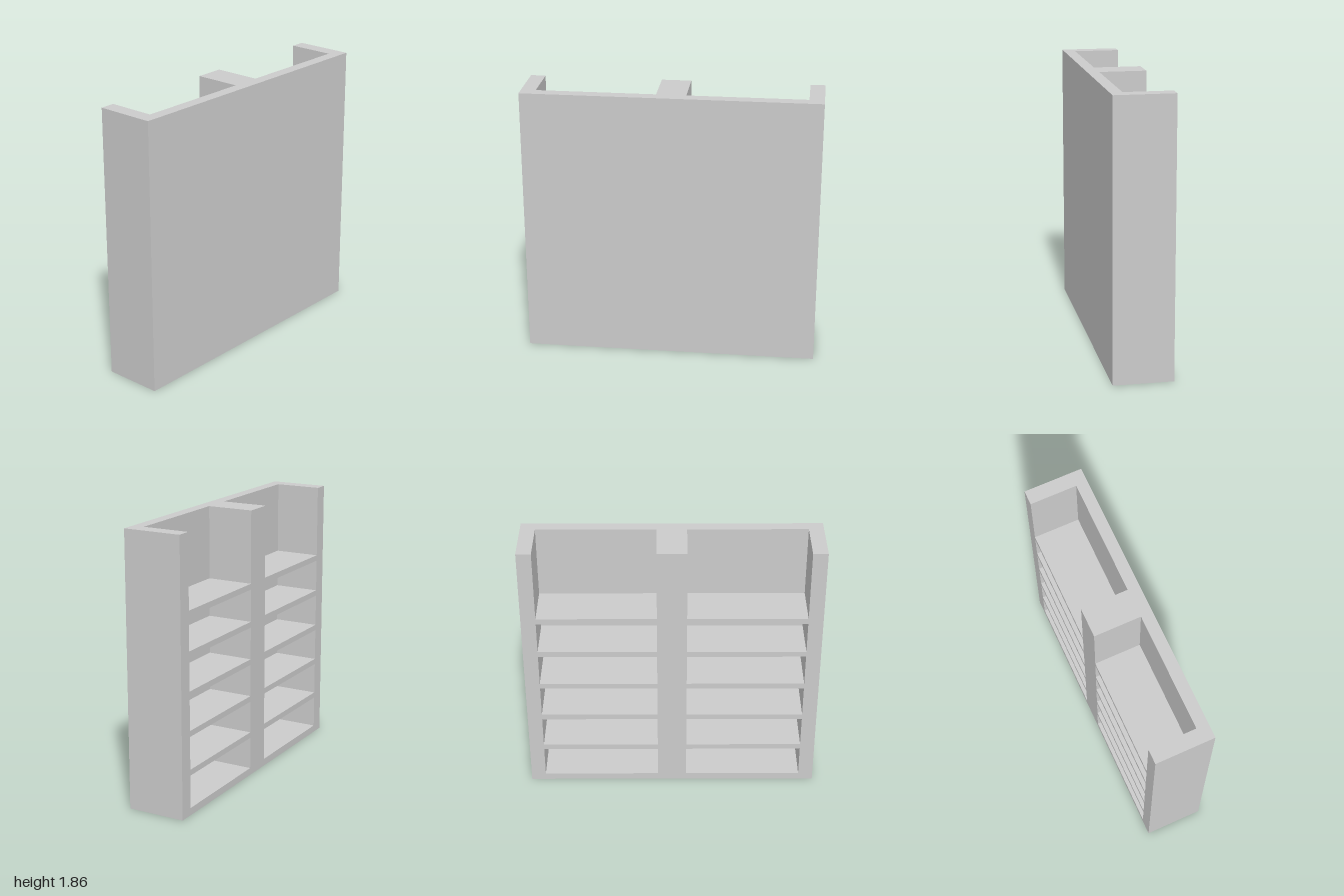
import * as THREE from 'three';

const HEIGHT = 1.86;
const DEPTH = 0.4;
const PANEL = 0.08; // thickness of the closed front panel

export function createModel() {
  const group = new THREE.Group();
  group.name = 'shelfUnit';
  const material = new THREE.MeshStandardMaterial({ color: 0xcccccc });

  const addBox = (name, w, h, d, x, y, z) => {
    const mesh = new THREE.Mesh(new THREE.BoxGeometry(w, h, d), material);
    mesh.name = name;
    mesh.position.set(x, y, z);
    group.add(mesh);
  };

  // Shell: E-shaped plan (front panel, two sides, divider), open at the back.
  // Shape y becomes -z once the extrusion is stood upright.
  const back = DEPTH / 2, front = -DEPTH / 2, inner = front + PANEL;
  const plan = new THREE.Shape([
    [-1, front], [1, front], [1, back], [0.9, back],
    [0.9, inner], [0.1, inner], [0.1, back], [-0.1, back],
    [-0.1, inner], [-0.9, inner], [-0.9, back], [-1, back],
  ].map(([x, y]) => new THREE.Vector2(x, y)));
  const shellGeometry = new THREE.ExtrudeGeometry(plan, { depth: HEIGHT, bevelEnabled: false });
  shellGeometry.rotateX(-Math.PI / 2);
  const shell = new THREE.Mesh(shellGeometry, material);
  shell.name = 'shell';
  group.add(shell);

  // Floor and five evenly spaced shelves in each of the two bays
  const bayDepth = DEPTH - PANEL;
  for (const side of [-1, 1]) {
    const bay = side < 0 ? 'right' : 'left';
    addBox(`${bay}Floor`, 0.8, 0.05, bayDepth, side * 0.5, 0.025, -PANEL / 2);
    for (let i = 1; i <= 5; i++) {
      const top = 0.05 + i * 0.263;
      addBox(`${bay}Shelf${i}`, 0.8, 0.04, bayDepth, side * 0.5, top - 0.02, -PANEL / 2);
    }
  }
  return group;
}
